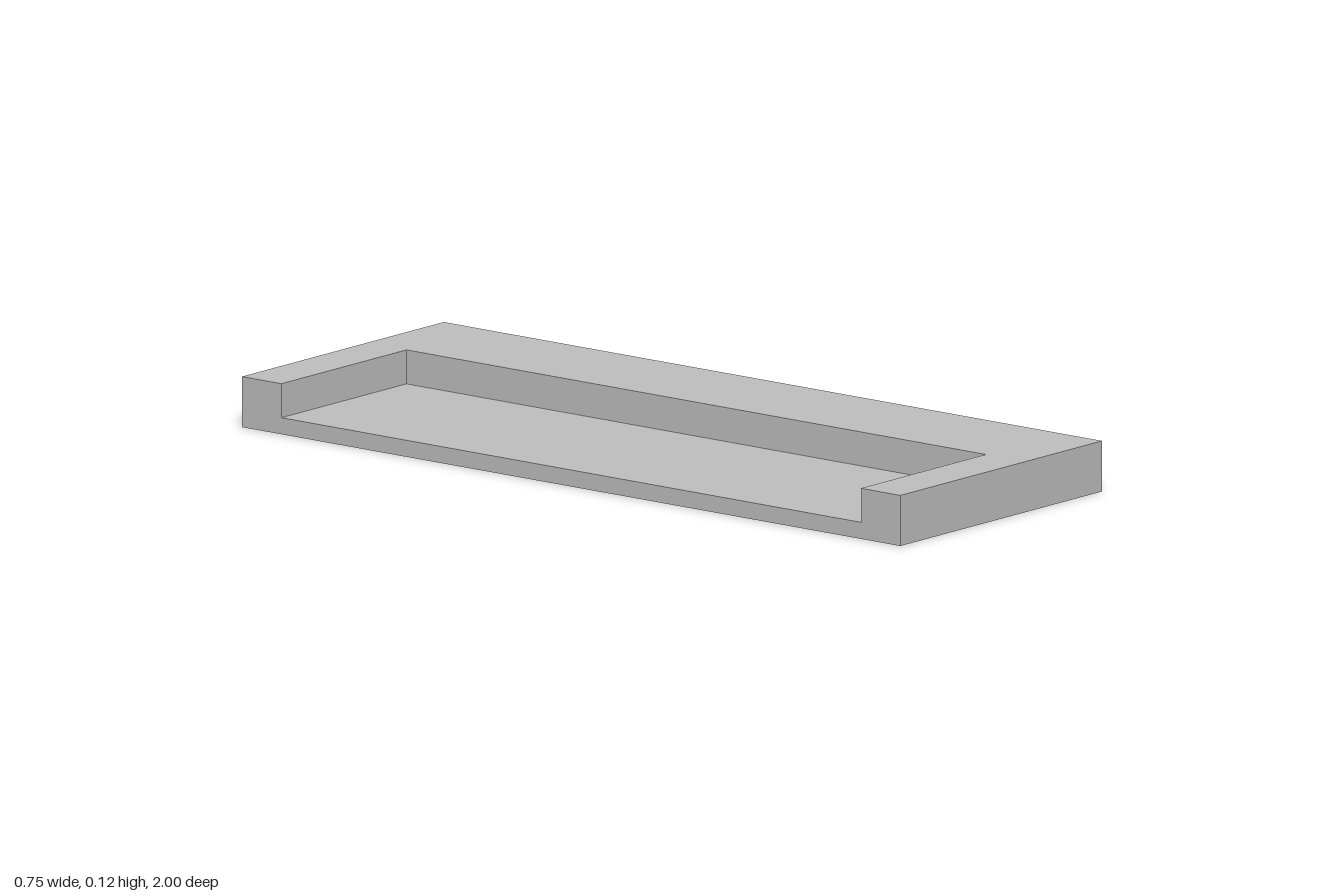
import * as THREE from 'three';

const HALF_W = 0.375, HALF_L = 1, HEIGHT = 0.122;
const FLOOR = 0.04;                     // height of the recess floor
const RECESS_X = 0.09, RECESS_Z = 0.88; // inner limits of the recess

export function createModel() {
  const group = new THREE.Group();
  group.name = 'recessedTray';
  const grey = new THREE.MeshStandardMaterial({ color: 0xc0c0c0 });
  grey.name = 'lightGrey';

  // C-shaped frame, open towards -x
  const outline = new THREE.Shape([
    [-HALF_W, -HALF_L], [HALF_W, -HALF_L], [HALF_W, HALF_L], [-HALF_W, HALF_L],
    [-HALF_W, RECESS_Z], [RECESS_X, RECESS_Z], [RECESS_X, -RECESS_Z], [-HALF_W, -RECESS_Z],
  ].map(([x, y]) => new THREE.Vector2(x, y)));
  const frameGeometry = new THREE.ExtrudeGeometry(outline, { depth: HEIGHT, bevelEnabled: false });
  frameGeometry.rotateX(-Math.PI / 2);
  const frame = new THREE.Mesh(frameGeometry, grey);
  frame.name = 'frame';

  // Thin floor filling the bottom of the recess
  const floor = new THREE.Mesh(
    new THREE.BoxGeometry(RECESS_X + HALF_W, FLOOR, RECESS_Z * 2), grey);
  floor.position.set((RECESS_X - HALF_W) / 2, FLOOR / 2, 0);
  floor.name = 'recessFloor';

  group.add(frame, floor);
  return group;
}
